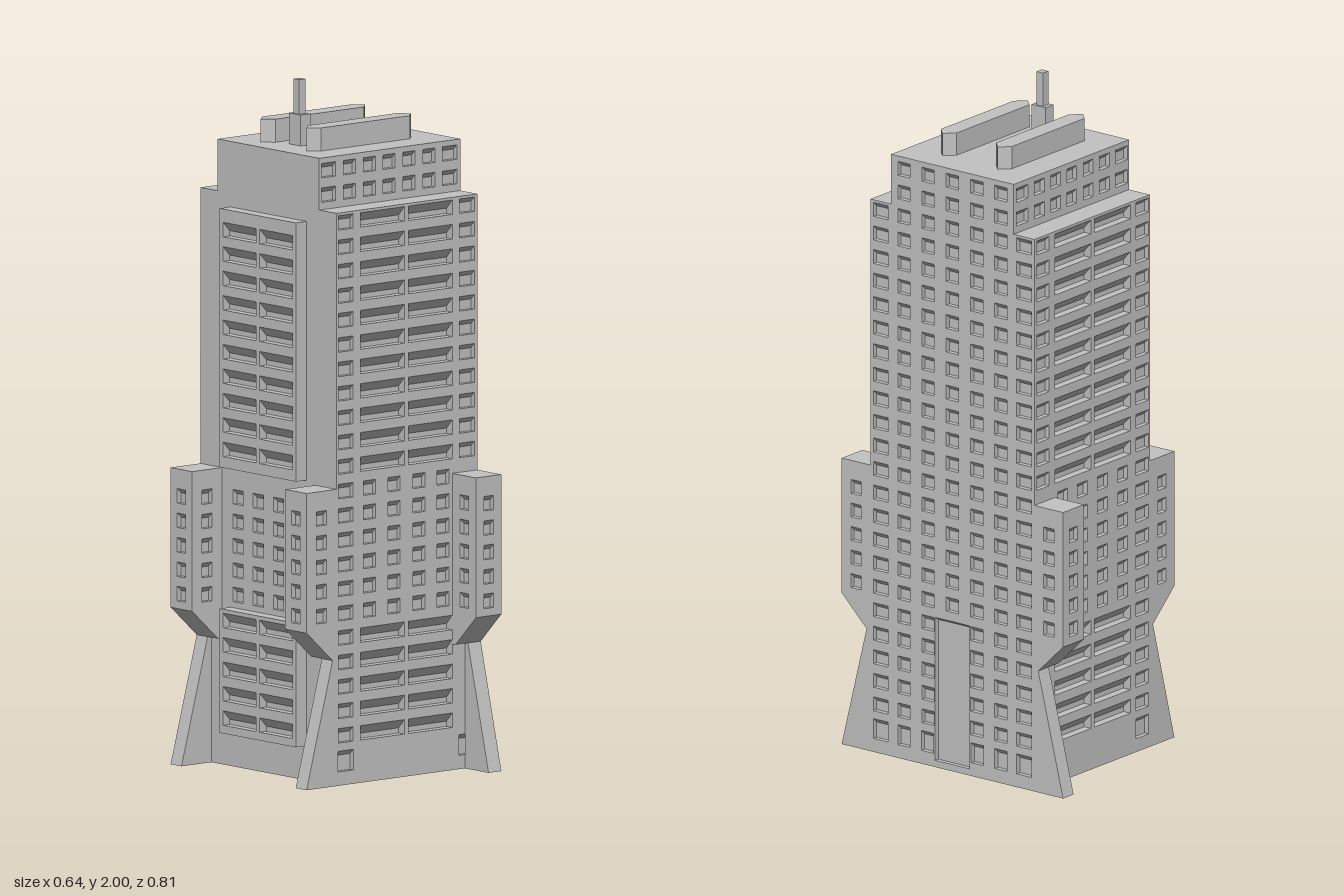
import * as THREE from 'three';
import { mergeGeometries } from 'three/addons/utils/BufferGeometryUtils.js';

const concrete = new THREE.MeshStandardMaterial({ color: 0xc2c2c2 });
concrete.name = 'concrete grey';

const STOREY = 0.0708;
const rowY = (k) => 1.773 - STOREY * k; // storeys counted from the top

// A window is a recess whose soffit slopes down towards the back
const win = (u, v, w = 0.045, h = 0.042, soffit = 0.014, depth = 0.015) => ({ u, v, w, h, soffit, depth });
const strip = (u, v, w = 0.165) => win(u, v, w, 0.042, 0.027, 0.025);

// One window for every column in each storey from a to b
function grid(cols, a, b, make = win, ...size) {
  const list = [];
  for (let k = a; k <= b; k++) for (const u of cols) list.push(make(u, rowY(k), ...size));
  return list;
}
const mirrored = (list) => list.map((w) => ({ ...w, u: -w.u }));

function plain(g) {
  const out = g.index ? g.toNonIndexed() : g;
  out.deleteAttribute('uv');
  return out;
}

// Four sloping sides and the back of a recess
function niche({ u, v, w, h, soffit, depth }) {
  const l = u - w / 2, r = u + w / 2, b = v - h / 2, t = v + h / 2;
  const o = [[l, b, 0], [r, b, 0], [r, t, 0], [l, t, 0]];
  const i = [[l, b, -depth], [r, b, -depth], [r, t - soffit, -depth], [l, t - soffit, -depth]];
  const pos = [];
  const quad = (p, q, s, e) => pos.push(...p, ...q, ...s, ...p, ...s, ...e);
  quad(...i);
  for (let n = 0; n < 4; n++) {
    const m = (n + 1) % 4;
    quad(o[n], o[m], i[m], i[n]);
  }
  const g = new THREE.BufferGeometry();
  g.setAttribute('position', new THREE.Float32BufferAttribute(pos, 3));
  g.computeVertexNormals();
  return g;
}

// Wall facing +z, pierced by windows
function facade(u0, u1, y0, y1, windows = []) {
  const shape = new THREE.Shape([[u0, y0], [u1, y0], [u1, y1], [u0, y1]].map((p) => new THREE.Vector2(...p)));
  for (const { u, v, w, h } of windows) {
    const l = u - w / 2, r = u + w / 2, b = v - h / 2, t = v + h / 2;
    shape.holes.push(new THREE.Path([[l, b], [l, t], [r, t], [r, b]].map((p) => new THREE.Vector2(...p))));
  }
  return mergeGeometries([plain(new THREE.ShapeGeometry(shape)), ...windows.map(niche)]);
}

// Box with a windowed wall on each side; window u is measured along each wall
function block(x0, x1, y0, y1, z0, z1, { front, right, back, left } = {}) {
  const cap = (y, up) => plain(new THREE.PlaneGeometry(x1 - x0, z1 - z0)
    .rotateX(up ? -Math.PI / 2 : Math.PI / 2).translate((x0 + x1) / 2, y, (z0 + z1) / 2));
  return mergeGeometries([
    facade(x0, x1, y0, y1, front).translate(0, 0, z1),
    facade(-z1, -z0, y0, y1, right).rotateY(Math.PI / 2).translate(x1, 0, 0),
    facade(-x1, -x0, y0, y1, back).rotateY(Math.PI).translate(0, 0, z0),
    facade(z0, z1, y0, y1, left).rotateY(-Math.PI / 2).translate(x0, 0, 0),
    cap(y1, true), cap(y0, false),
  ]);
}

// Side profile (outward, up) drawn out from u0 to u1
function prism(points, u0, u1) {
  const shape = new THREE.Shape(points.map((p) => new THREE.Vector2(...p)));
  return plain(new THREE.ExtrudeGeometry(shape, { depth: u1 - u0, bevelEnabled: false })
    .rotateY(-Math.PI / 2).translate(u1, 0, 0));
}

// Corner buttress: windowed head, sloping corbel and a thin splayed leg
function buttress(out, legStart) {
  const W = 0.095, waist = 0.014;
  const col = (u) => grid([u], 14, 18, win, 0.037, 0.042);
  return mergeGeometries([
    block(0, W, 0.455, 0.86, 0, out, { front: col(W / 2), right: col(-out / 2), left: col(out / 2) }),
    prism([[0, 0.365], [waist, 0.365], [out, 0.455], [0, 0.455]], 0, W),
    prism([[0, 0], [out, 0], [waist, 0.365], [0, 0.365]], legStart, legStart + 0.048),
  ]);
}

export function createModel() {
  const model = new THREE.Group();
  model.name = 'tower';
  const add = (name, geometry, x = 0, y = 0, z = 0, turn = 0) => {
    const mesh = new THREE.Mesh(geometry, concrete);
    mesh.name = name;
    mesh.position.set(x, y, z);
    mesh.rotation.y = turn;
    model.add(mesh);
  };
  const L = -0.21, R = 0.32;

  // Main shaft
  const strips = [-0.0375, 0.1425];
  const front = [
    ...grid(strips, 2, 12, strip), ...grid(strips, 19, 23, strip),
    ...grid([-0.175, 0.28], 2, 12, win, 0.056),
    ...grid([-0.175], 13, 23, win, 0.056),
    ...grid([-0.085, 0.007, 0.1, 0.19], 13, 18),
    win(-0.175, 0.07, 0.058, 0.06), win(0.28, 0.07, 0.058, 0.06),
  ];
  const right = [
    ...grid([-0.262, 0.262], 2, 23, win, 0.054),
    ...grid([-0.177, -0.089, 0.089, 0.177], 2, 23),
    ...grid([0], 2, 18),
    ...[-0.262, -0.177, -0.091, 0.091, 0.177, 0.262].map((u) => win(u, 0.07, Math.abs(u) > 0.2 ? 0.054 : 0.045, 0.06)),
    win(0, 0.235, 0.126, 0.43, 0.01, 0.015), // tall entrance recess
  ];
  const left = grid([-0.135, -0.045, 0.045, 0.135], 14, 18);
  add('main shaft', block(L, R, 0, 1.66, -0.3, 0.3, { front, right, back: mirrored(front), left }));

  // Set-back crown
  const crown = [
    ...grid([-0.175, 0.28], 0, 1, win, 0.054),
    ...grid([-0.097, -0.022, 0.053, 0.127, 0.202], 0, 1),
  ];
  add('crown', block(L, R, 1.66, 1.81, -0.224, 0.224, {
    front: crown, back: mirrored(crown), right: grid([-0.177, -0.089, 0, 0.089, 0.177], 0, 1),
  }));

  // Projecting bays on the left wall
  const bays = (a, b) => ({ left: grid([-0.081, 0.081], a, b, strip, 0.145) });
  add('upper bay', block(-0.25, L, 0.87, 1.62, -0.168, 0.168, bays(3, 12)));
  add('lower bay', block(-0.25, L, 0.1, 0.46, -0.168, 0.168, bays(19, 23)));

  // Corner buttresses
  add('front right buttress', buttress(0.105, 0.047), 0.225, 0, 0.3);
  add('back right buttress', buttress(0.105, 0), R, 0, -0.3, Math.PI);
  add('front left buttress', buttress(0.112, 0.047), L, 0, 0.205, -Math.PI / 2);
  add('back left buttress', buttress(0.112, 0), L, 0, -0.3, -Math.PI / 2);

  // Roof bars with pointed ends
  const bar = new THREE.Shape([[-0.153, 0], [-0.123, -0.029], [0.21, -0.029], [0.239, 0], [0.21, 0.029], [-0.123, 0.029]]
    .map((p) => new THREE.Vector2(...p)));
  for (const z of [-0.101, 0.101]) {
    add('roof bar', new THREE.ExtrudeGeometry(bar, { depth: 0.067, bevelEnabled: false }).rotateX(-Math.PI / 2), 0, 1.81, z);
  }

  // Mast
  add('mast base', new THREE.BoxGeometry(0.036, 0.09, 0.052), -0.093, 1.855, 0);
  add('mast', new THREE.BoxGeometry(0.024, 0.1, 0.024), -0.093, 1.95, 0);
  return model;
}
